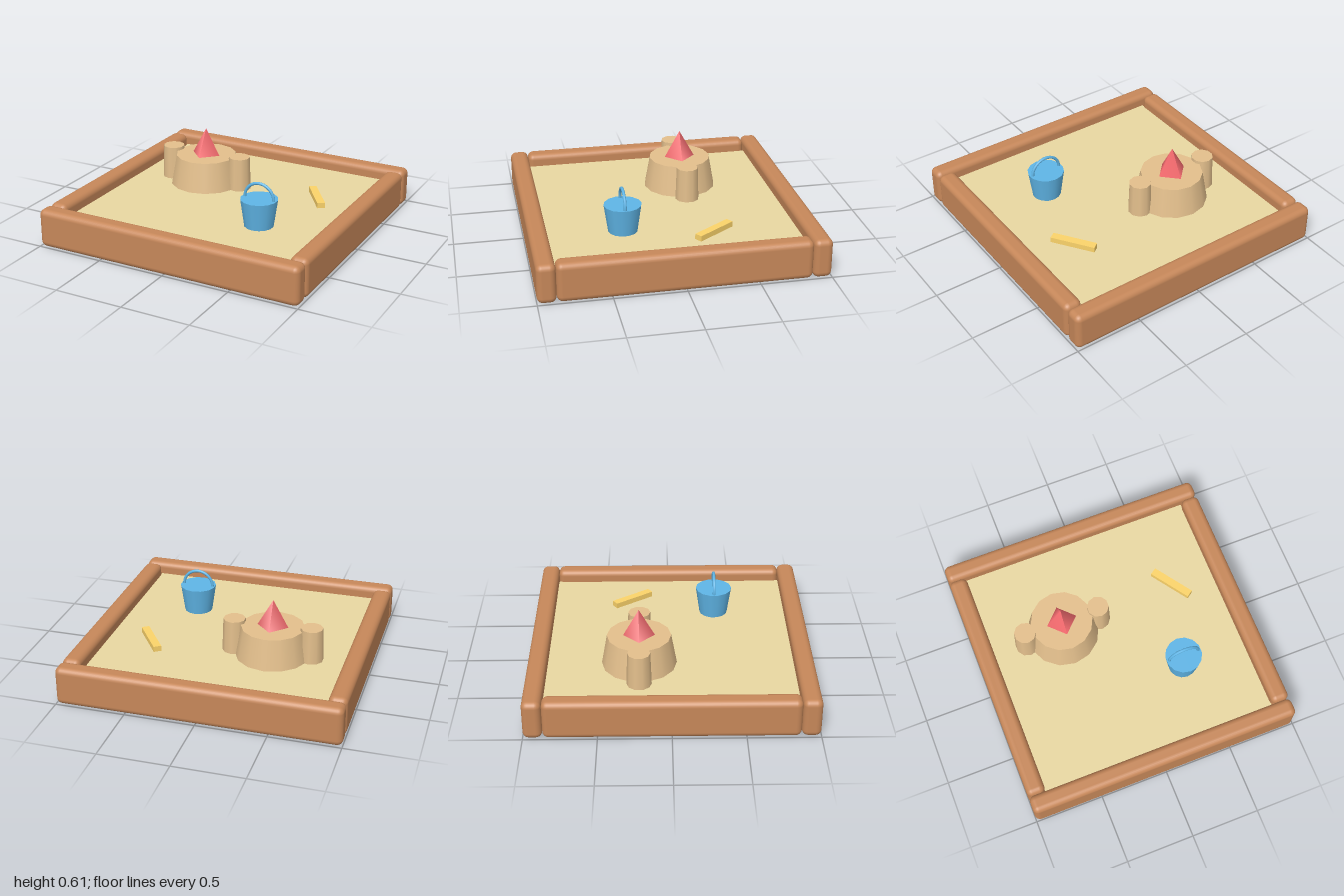
import * as THREE from 'three';
import { RoundedBoxGeometry } from 'three/addons/geometries/RoundedBoxGeometry.js';

const mat = (color) => new THREE.MeshStandardMaterial({ color });

const SAND_TOP = 0.19;
const SAND_BOTTOM = 0.09;
const WALL_H = 0.28;
const WALL_T = 0.132;

function add(parent, name, geometry, material, x, y, z) {
  const mesh = new THREE.Mesh(geometry, material);
  mesh.name = name;
  mesh.position.set(x, y, z);
  parent.add(mesh);
  return mesh;
}

// Tapered cylinder standing on the sand, up to the given height
function drum(parent, name, material, rTop, rBottom, top, sides, x, z) {
  const h = top - SAND_TOP;
  return add(parent, name, new THREE.CylinderGeometry(rTop, rBottom, h, sides), material, x, SAND_TOP + h / 2, z);
}

export function createModel() {
  const model = new THREE.Group();
  model.name = 'sandbox';
  const wood = mat(0xc68759);
  const sand = mat(0xe9d7a1);
  const packedSand = mat(0xe3bf8c);
  const red = mat(0xf86c70);
  const blue = mat(0x5fb5e6);
  const yellow = mat(0xfbd36a);

  // Rounded boards: long ones front and back, shorter ones between them
  const edge = 1 - WALL_T / 2;
  const longBoard = new RoundedBoxGeometry(2, WALL_H, WALL_T, 3, 0.042);
  const shortBoard = new RoundedBoxGeometry(WALL_T, WALL_H, 2 - 2 * WALL_T, 3, 0.042);
  for (const s of [1, -1]) {
    add(model, s > 0 ? 'frontBoard' : 'backBoard', longBoard, wood, 0, WALL_H / 2, s * edge);
    add(model, s > 0 ? 'leftBoard' : 'rightBoard', shortBoard, wood, s * edge, WALL_H / 2, 0);
  }

  // Sand bed, raised off the ground between the boards
  const bedSize = 2 - 2 * WALL_T + 0.01;
  add(model, 'sandBed', new THREE.BoxGeometry(bedSize, SAND_TOP - SAND_BOTTOM, bedSize), sand,
    0, (SAND_TOP + SAND_BOTTOM) / 2, 0);

  // Sand castle: keep, two towers and a pointed roof
  const castle = new THREE.Group();
  castle.name = 'sandCastle';
  castle.position.set(-0.336, 0, -0.222);
  model.add(castle);
  drum(castle, 'keep', packedSand, 0.225, 0.265, 0.412, 14, 0, 0);
  for (const s of [1, -1]) {
    drum(castle, s > 0 ? 'leftTower' : 'rightTower', packedSand, 0.079, 0.087, 0.435, 10, s * 0.28, 0);
  }
  add(castle, 'roof', new THREE.ConeGeometry(0.111, 0.2, 4), red, 0, 0.512, 0);

  // Bucket with an arched handle
  const bucket = new THREE.Group();
  bucket.name = 'bucket';
  bucket.position.set(0.389, 0, 0.333);
  model.add(bucket);
  drum(bucket, 'pail', blue, 0.133, 0.104, 0.39, 14, 0, 0);
  add(bucket, 'handle', new THREE.TorusGeometry(0.111, 0.011, 8, 24, Math.PI), blue, 0, 0.39, 0);

  // Toy spade lying on the sand
  const spade = add(model, 'spade', new THREE.BoxGeometry(0.327, 0.04, 0.056), yellow,
    0.553, SAND_TOP + 0.02, -0.28);
  spade.rotation.y = -0.96;

  return model;
}
